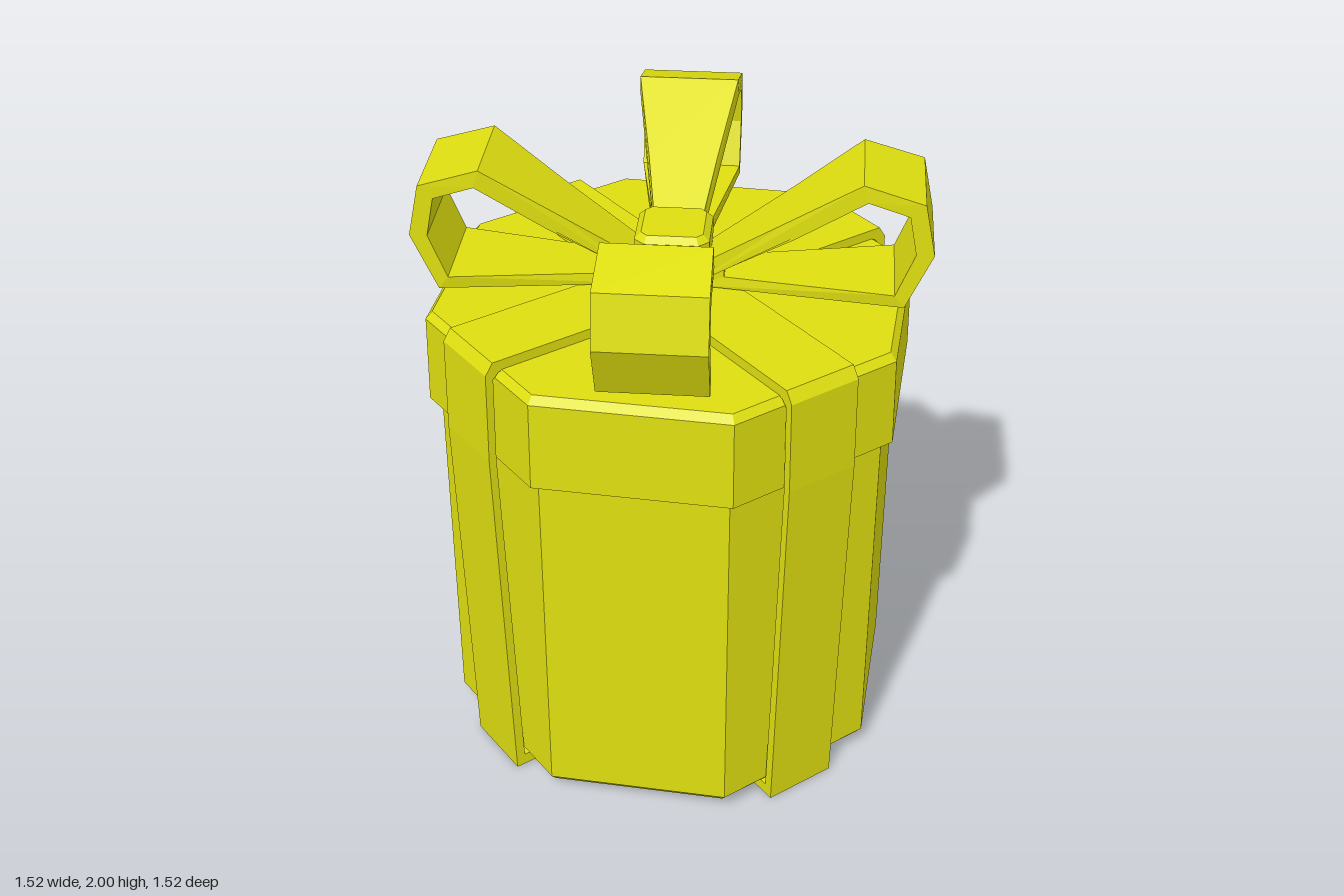
import * as THREE from 'three';

const paint = new THREE.MeshStandardMaterial({ color: 0xdede10 });
paint.name = 'yellow';

// Mesh with hard-edged facets
function facetMesh(geometry, name) {
  const g = geometry.index ? geometry.toNonIndexed() : geometry;
  g.computeVertexNormals();
  const mesh = new THREE.Mesh(g, paint);
  mesh.name = name;
  return mesh;
}

const vectors = (pts) => pts.map(([x, y]) => new THREE.Vector2(x, y));

// Eight-sided solid from [apothem, y] pairs, a flat side facing front
function octagonSolid(profile, name) {
  const k = 1 / Math.cos(Math.PI / 8);
  const pts = profile.map(([r, y]) => new THREE.Vector2(r * k, y));
  return facetMesh(new THREE.LatheGeometry(pts, 8, Math.PI / 8), name);
}

// Closed band: an outline with a hole, centred across its width
function bandGeometry(outer, inner, width) {
  const shape = new THREE.Shape(vectors(outer));
  shape.holes.push(new THREE.Path(vectors(inner)));
  const g = new THREE.ExtrudeGeometry(shape, { depth: width, bevelEnabled: false });
  return g.translate(0, 0, -width / 2);
}

// Mirror half an outline (bottom to top) across x = 0
const mirrored = (half) => [...half, ...half.map(([x, y]) => [-x, y]).reverse()];

export function createModel() {
  const model = new THREE.Group();
  model.name = 'giftBox';

  // Box and lid
  model.add(octagonSolid([[0, 0.04], [0.67, 0.04], [0.69, 0.065], [0.69, 1.26], [0, 1.26]], 'boxBody'));
  model.add(octagonSolid(
    [[0, 1.235], [0.71, 1.235], [0.725, 1.245], [0.72, 1.53], [0.7, 1.555], [0, 1.555]], 'lid'));

  // Two ribbons wrapped right round the box, crossing at top and bottom
  const wrapOuter = mirrored([[0.725, 0], [0.76, 1.25], [0.755, 1.55], [0.73, 1.587]]);
  const wrapInner = mirrored([[0.695, 0.04], [0.735, 1.25], [0.73, 1.53], [0.71, 1.55]]);
  for (let i = 0; i < 2; i++) {
    const ribbon = facetMesh(bandGeometry(wrapOuter, wrapInner, 0.245), i ? 'sideRibbon' : 'frontRibbon');
    ribbon.rotation.y = i * Math.PI / 2;
    model.add(ribbon);
  }

  // Bow
  const bow = new THREE.Group();
  bow.name = 'bow';
  bow.rotation.y = -40 * Math.PI / 180;
  model.add(bow);

  // Four loops, each narrowing towards the knot
  const loopOuter = [[0.06, 1.59], [0.71, 1.6], [0.79, 1.78], [0.755, 1.945], [0.57, 2], [0.34, 1.84], [0.06, 1.65]];
  const loopInner = [[0.16, 1.63], [0.68, 1.64], [0.735, 1.78], [0.71, 1.905], [0.585, 1.945], [0.37, 1.79], [0.16, 1.655]];
  for (let i = 0; i < 4; i++) {
    const g = bandGeometry(loopOuter, loopInner, 2);
    const p = g.attributes.position;
    for (let v = 0; v < p.count; v++) {
      const t = THREE.MathUtils.clamp((p.getX(v) - 0.1) / 0.49, 0, 1);
      p.setZ(v, p.getZ(v) * THREE.MathUtils.lerp(0.06, 0.163, t));
    }
    const loop = facetMesh(g, 'bowLoop' + (i + 1));
    loop.rotation.y = i * Math.PI / 2;
    bow.add(loop);
  }

  // Knot: a square block with trimmed corners and edges
  const a = 0.095, b = 0.075;
  const knotShape = new THREE.Shape(vectors(
    [[a, -b], [a, b], [b, a], [-b, a], [-a, b], [-a, -b], [-b, -a], [b, -a]]));
  const knot = facetMesh(new THREE.ExtrudeGeometry(knotShape, {
    depth: 0.155, bevelEnabled: true, bevelSize: 0.02, bevelThickness: 0.02, bevelSegments: 1,
  }), 'knot');
  knot.rotation.x = -Math.PI / 2;
  knot.position.y = 1.6;
  bow.add(knot);

  return model;
}
